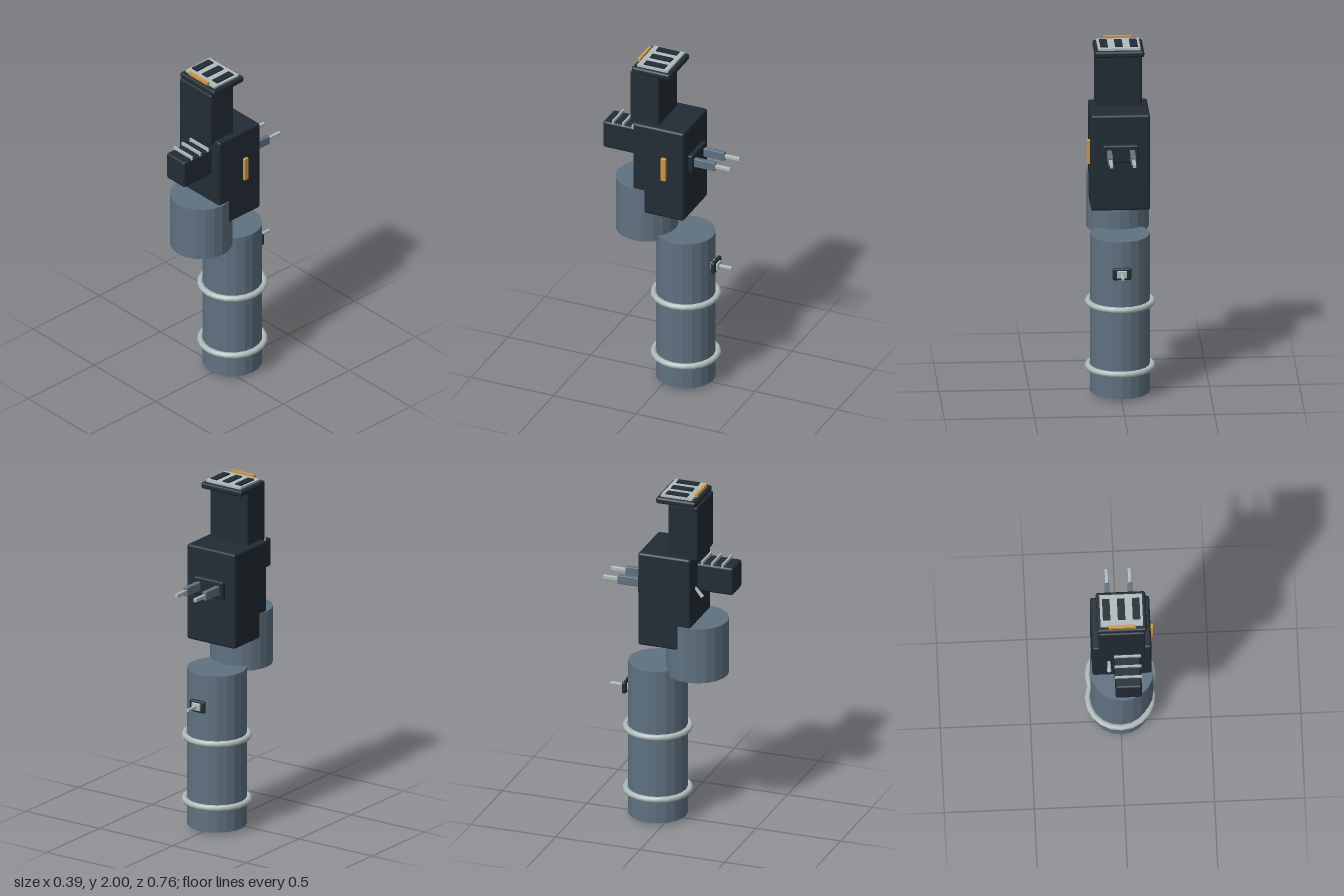
import * as THREE from 'three';
import { RoundedBoxGeometry } from 'three/addons/geometries/RoundedBoxGeometry.js';

function material(name, color, flatShading = false) {
  const m = new THREE.MeshStandardMaterial({ color, flatShading });
  m.name = name;
  return m;
}

export function createModel() {
  const group = new THREE.Group();
  const dark = material('charcoal', 0x222c35);
  const slate = material('slate', 0x5f7180, true);
  const light = material('pale metal', 0xb0bcbd);
  const amber = material('amber', 0xcf9848);

  function add(name, geometry, mat, x, y, z) {
    const mesh = new THREE.Mesh(geometry, mat);
    mesh.name = name;
    mesh.position.set(x, y, z);
    group.add(mesh);
    return mesh;
  }
  // Box given by its lower and upper corners, with an optional rounded edge
  function block(name, mat, [x0, y0, z0], [x1, y1, z1], round = 0) {
    const size = [x1 - x0, y1 - y0, z1 - z0];
    const geometry = round
      ? new RoundedBoxGeometry(...size, 2, round)
      : new THREE.BoxGeometry(...size);
    return add(name, geometry, mat, (x0 + x1) / 2, (y0 + y1) / 2, (z0 + z1) / 2);
  }
  function barrel(name, mat, radius, y0, y1, z, sides = 20) {
    return add(name, new THREE.CylinderGeometry(radius, radius, y1 - y0, sides), mat, 0, (y0 + y1) / 2, z);
  }

  // Lower barrel with foot and two rings
  const lowerZ = -0.08;
  barrel('lowerBarrel', slate, 0.166, 0.015, 0.93, lowerZ);
  barrel('footCap', dark, 0.117, 0, 0.03, lowerZ, 24);
  for (const y of [0.162, 0.537]) {
    const ring = new THREE.TorusGeometry(0.179, 0.018, 8, 20).rotateX(Math.PI / 2);
    add('barrelRing', ring, light, 0, y, lowerZ);
  }

  // Switch on the back of the lower barrel
  block('switchPlate', dark, [-0.052, 0.717, -0.276], [0.052, 0.787, -0.252], 0.01);
  block('switchBase', light, [-0.028, 0.73, -0.285], [0.028, 0.774, -0.235], 0.005);
  block('switchPin', light, [-0.008, 0.743, -0.36], [0.008, 0.759, -0.28], 0.003);

  // Upper barrel, offset to the front
  barrel('upperBarrel', slate, 0.175, 0.9, 1.225, 0.155);

  // Main housing and neck
  block('housing', dark, [-0.164, 1.08, -0.139], [0.164, 1.635, 0.17], 0.013);
  block('neck', dark, [-0.129, 1.62, 0.029], [0.127, 1.945, 0.202], 0.01);

  // Head slab with slotted plate and amber strip
  block('headSlab', dark, [-0.138, 1.938, -0.043], [0.138, 1.975, 0.191], 0.013);
  block('headPlate', light, [-0.118, 1.97, -0.021], [0.118, 1.987, 0.165]);
  for (const x of [-0.083, 0, 0.083]) {
    block('headSlot', dark, [x - 0.021, 1.985, 0.005], [x + 0.021, 1.994, 0.13]);
  }
  block('headStrip', amber, [-0.076, 1.983, 0.164], [0.076, 2, 0.181]);

  // Front box with three fins on top
  block('frontBox', dark, [-0.044, 1.404, 0.16], [0.102, 1.569, 0.379], 0.013);
  for (const z of [0.197, 0.256, 0.318]) {
    block('frontFin', light, [-0.046, 1.564, z - 0.005], [0.105, 1.586, z + 0.005]);
  }

  // Small tilted lever beside the front box
  const lever = add('frontLever', new THREE.CylinderGeometry(0.008, 0.012, 0.07, 8), light, -0.072, 1.412, 0.188);
  lever.rotation.x = -0.7;

  // Side indicator
  block('sideIndicator', amber, [0.155, 1.32, -0.036], [0.181, 1.46, -0.007], 0.003);

  // Back socket with two stepped prongs
  block('socketPlate', dark, [-0.099, 1.363, -0.164], [0.099, 1.467, -0.13], 0.01);
  for (const x of [-0.064, 0.064]) {
    block('prongSleeve', slate, [x - 0.014, 1.39, -0.29], [x + 0.014, 1.441, -0.15], 0.004);
    block('prongPin', light, [x - 0.009, 1.405, -0.38], [x + 0.009, 1.427, -0.28], 0.003);
  }

  return group;
}
